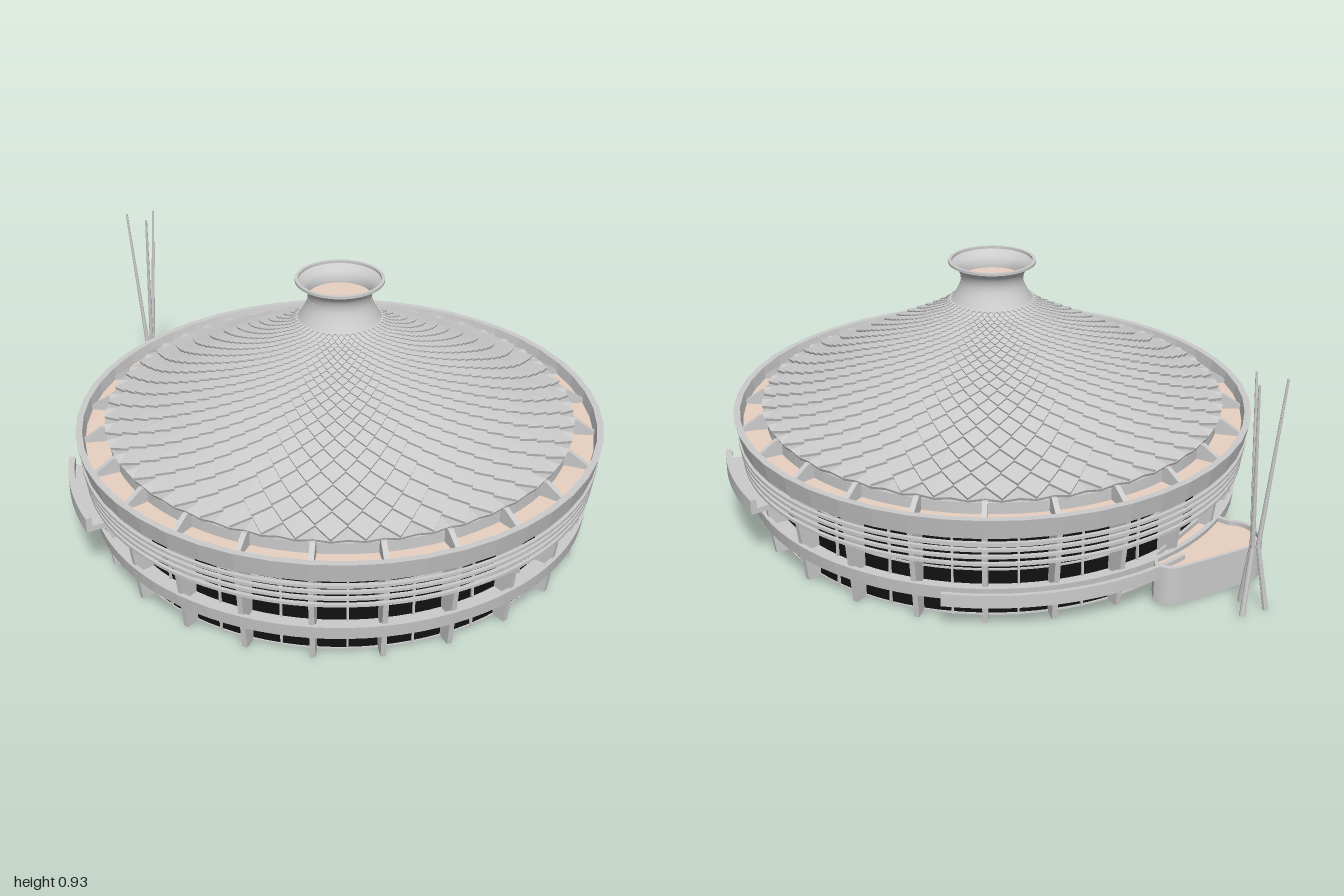
import * as THREE from 'three';

const grey = new THREE.MeshStandardMaterial({ color: 0xcccccc, flatShading: true, side: THREE.DoubleSide });
const smooth = new THREE.MeshStandardMaterial({ color: 0xcccccc, side: THREE.DoubleSide });
const glass = new THREE.MeshStandardMaterial({ color: 0x111111, side: THREE.DoubleSide });
const floorPink = new THREE.MeshStandardMaterial({ color: 0xe8d0c0, side: THREE.DoubleSide });

function add(parent, name, geometry, material = grey) {
  const mesh = new THREE.Mesh(geometry, material);
  mesh.name = name;
  parent.add(mesh);
  return mesh;
}

// Ring with a rectangular section; topOut flares the upper edge outward
function ring(r0, r1, y0, y1, topOut = 0, segments = 96) {
  const p = [[r0, y0], [r1, y0], [r1 + topOut, y1], [r0 + topOut, y1], [r0, y0]];
  return new THREE.LatheGeometry(p.map(([r, y]) => new THREE.Vector2(r, y)), segments);
}

// Upright extrusion of a plan shape drawn in (x, -z)
function slab(shape, y0, y1) {
  return new THREE.ExtrudeGeometry(shape, { depth: y1 - y0, bevelEnabled: false, curveSegments: 24 })
    .rotateX(-Math.PI / 2).translate(0, y0, 0);
}

function arcSlab(r0, r1, y0, y1, a0, a1) {
  const s = new THREE.Shape();
  s.absarc(0, 0, r1, a0, a1, false);
  s.absarc(0, 0, r0, a1, a0, true);
  return slab(s, y0, y1);
}

// Roof height at a radius
const profile = [[0.14, 0.795], [0.17, 0.765], [0.25, 0.715], [0.457, 0.607], [0.66, 0.49], [0.83, 0.41]];
function roofHeight(r) {
  let i = 1;
  while (i < profile.length - 1 && r > profile[i][0]) i++;
  const [ra, ya] = profile[i - 1], [rb, yb] = profile[i];
  return ya + (yb - ya) * (r - ra) / (rb - ra);
}

// Overlapping diamond scales, each with its lower tip lifted over the row below
function scaleRoof() {
  const N = 48, K = 27, pos = [];
  const point = (k, h, lift) => {
    const kk = Math.min(Math.max(k, 0), K);
    const r = 0.82 * Math.pow(0.145 / 0.82, kk / K), a = h * Math.PI / N;
    const d = lift * 0.02 * (0.2 + r);
    const R = r + d * 0.45;
    return [R * Math.sin(a), roofHeight(r) + d, R * Math.cos(a)];
  };
  const quad = (a, b, c, d) => pos.push(...a, ...b, ...d, ...b, ...c, ...d);
  for (let k = 0; k <= K; k++) {
    for (let h = k % 2; h < 2 * N; h += 2) {
      const T = point(k + 1, h, 0), B = point(k - 1, h, 1);
      const L = point(k, h - 1, 0.5), R = point(k, h + 1, 0.5);
      const B0 = point(k - 1, h, 0.5), L0 = point(k, h - 1, 0), R0 = point(k, h + 1, 0);
      quad(L, B, R, T);
      quad(L, L0, B0, B);
      quad(B, B0, R0, R);
    }
  }
  const g = new THREE.BufferGeometry();
  g.setAttribute('position', new THREE.Float32BufferAttribute(pos, 3));
  g.computeVertexNormals();
  return g;
}

// Tapered rod between two points
function rod(a, b, ra, rb) {
  const dir = b.clone().sub(a);
  const g = new THREE.CylinderGeometry(rb, ra, dir.length(), 8);
  g.applyQuaternion(new THREE.Quaternion().setFromUnitVectors(new THREE.Vector3(0, 1, 0), dir.normalize()));
  const m = a.clone().add(b).multiplyScalar(0.5);
  return g.translate(m.x, m.y, m.z);
}

export function createModel() {
  const model = new THREE.Group();
  const hall = new THREE.Group();
  hall.name = 'roundHall';
  hall.position.z = 0.065;
  model.add(hall);

  // Roof, gutter and parapet
  add(hall, 'scaleRoof', scaleRoof());
  add(hall, 'roofCurb', ring(0.80, 0.815, 0.37, 0.412));
  add(hall, 'gutterFloor', ring(0.73, 0.91, 0.365, 0.372), floorPink);
  add(hall, 'parapet', ring(0.892, 0.915, 0.34, 0.412, 0.015, 48));
  add(hall, 'ringBeam', ring(0.80, 0.82, 0.335, 0.366));

  // Flared roof vent
  const vent = new THREE.SplineCurve([[0.15, 0.785], [0.138, 0.80], [0.116, 0.84], [0.11, 0.87], [0.12, 0.90], [0.15, 0.925]]
    .map(([r, y]) => new THREE.Vector2(r, y))).getPoints(24);
  add(hall, 'roofVent', new THREE.LatheGeometry(vent, 64), smooth);
  add(hall, 'ventRim', ring(0.142, 0.153, 0.924, 0.933));
  add(hall, 'ventFloor', new THREE.CircleGeometry(0.111, 48).rotateX(-Math.PI / 2).translate(0, 0.865, 0), floorPink);

  // Glazed wall with its grid of bars
  add(hall, 'glassWall', new THREE.CylinderGeometry(0.81, 0.81, 0.34, 96, 1, true).translate(0, 0.17, 0), glass);
  for (const y of [0.003, 0.085, 0.17, 0.255]) add(hall, 'glazingBar', ring(0.803, 0.815, y - 0.003, y + 0.003));
  for (let i = 0; i < 48; i++) {
    const bar = add(hall, 'mullion', new THREE.BoxGeometry(0.007, 0.34, 0.016).translate(0, 0.17, 0.81));
    bar.rotation.y = (i + 0.5) * Math.PI / 24 - Math.PI / 48;
  }

  // Leaning columns whose heads show as fins in the gutter
  const outline = [[0.80, 0], [0.86, 0], [0.908, 0.36], [0.90, 0.385], [0.835, 0.428], [0.80, 0.428]];
  const fin = new THREE.ExtrudeGeometry(new THREE.Shape(outline.map(([r, y]) => new THREE.Vector2(r, y))),
    { depth: 0.018, bevelEnabled: false }).translate(0, 0, -0.009);
  for (let i = 0; i < 24; i++) {
    add(hall, 'column', fin).rotation.y = (i + 0.5) * Math.PI / 12;
  }

  // Gallery floor and rails
  add(hall, 'galleryFloor', ring(0.81, 0.88, 0.10, 0.115));
  add(hall, 'galleryBand', ring(0.868, 0.885, 0.098, 0.146, 0.006));
  [0.242, 0.27, 0.297, 0.322].forEach((y, i) =>
    add(hall, 'galleryRail', ring(0.894 + i * 0.004, 0.906 + i * 0.004, y - 0.005, y + 0.005)));

  // Side balconies
  for (const mid of [0, Math.PI]) {
    add(hall, 'balconyFloor', arcSlab(0.81, 0.96, 0.212, 0.232, mid - 0.215, mid + 0.215));
    add(hall, 'balconyFront', arcSlab(0.945, 0.967, 0.212, 0.266, mid - 0.215, mid + 0.215));
  }

  // Rear walkway leading to the terrace
  add(hall, 'walkwayFloor', arcSlab(0.87, 0.93, 0.10, 0.115, 1.03, 1.95));
  add(hall, 'walkwayWall', arcSlab(0.918, 0.932, 0.10, 0.146, 1.03, 1.95));

  // Rear terrace with rounded end: hollow wall and sunken floor
  const terrace = new THREE.Shape();
  terrace.moveTo(-0.25, 0.76);
  terrace.lineTo(-0.225, 0.82);
  terrace.quadraticCurveTo(-0.25, 0.87, -0.30, 0.865);
  terrace.lineTo(-0.57, 0.835);
  terrace.quadraticCurveTo(-0.66, 0.815, -0.655, 0.73);
  terrace.quadraticCurveTo(-0.65, 0.67, -0.60, 0.645);
  terrace.lineTo(-0.55, 0.56);
  const pts = terrace.getPoints(12);
  const wall = new THREE.Shape(pts);
  wall.holes.push(new THREE.Path(pts.map(p => new THREE.Vector2(-0.46 + (p.x + 0.46) * 0.93, 0.74 + (p.y - 0.74) * 0.9))));
  add(model, 'terraceWall', slab(wall, 0.01, 0.146));
  add(model, 'terraceFloor', slab(new THREE.Shape(pts.map(p =>
    new THREE.Vector2(-0.46 + (p.x + 0.46) * 0.97, 0.74 + (p.y - 0.74) * 0.96))), 0.115, 0.13), floorPink);

  // Three-legged mast pinched above its feet
  const mast = new THREE.Group();
  mast.name = 'mast';
  mast.position.set(-0.503, 0, -0.962);
  model.add(mast);
  for (const [x, z] of [[-0.056, -0.026], [0.05, -0.034], [0.006, 0.058]]) {
    const at = (s, y) => new THREE.Vector3(x * s, y, z * s);
    add(mast, 'mastFoot', rod(at(0.85, 0), at(0.2, 0.235), 0.01, 0.008));
    add(mast, 'mastSpar', rod(at(0.2, 0.235), at(1, 0.82), 0.008, 0.004));
  }
  return model;
}
